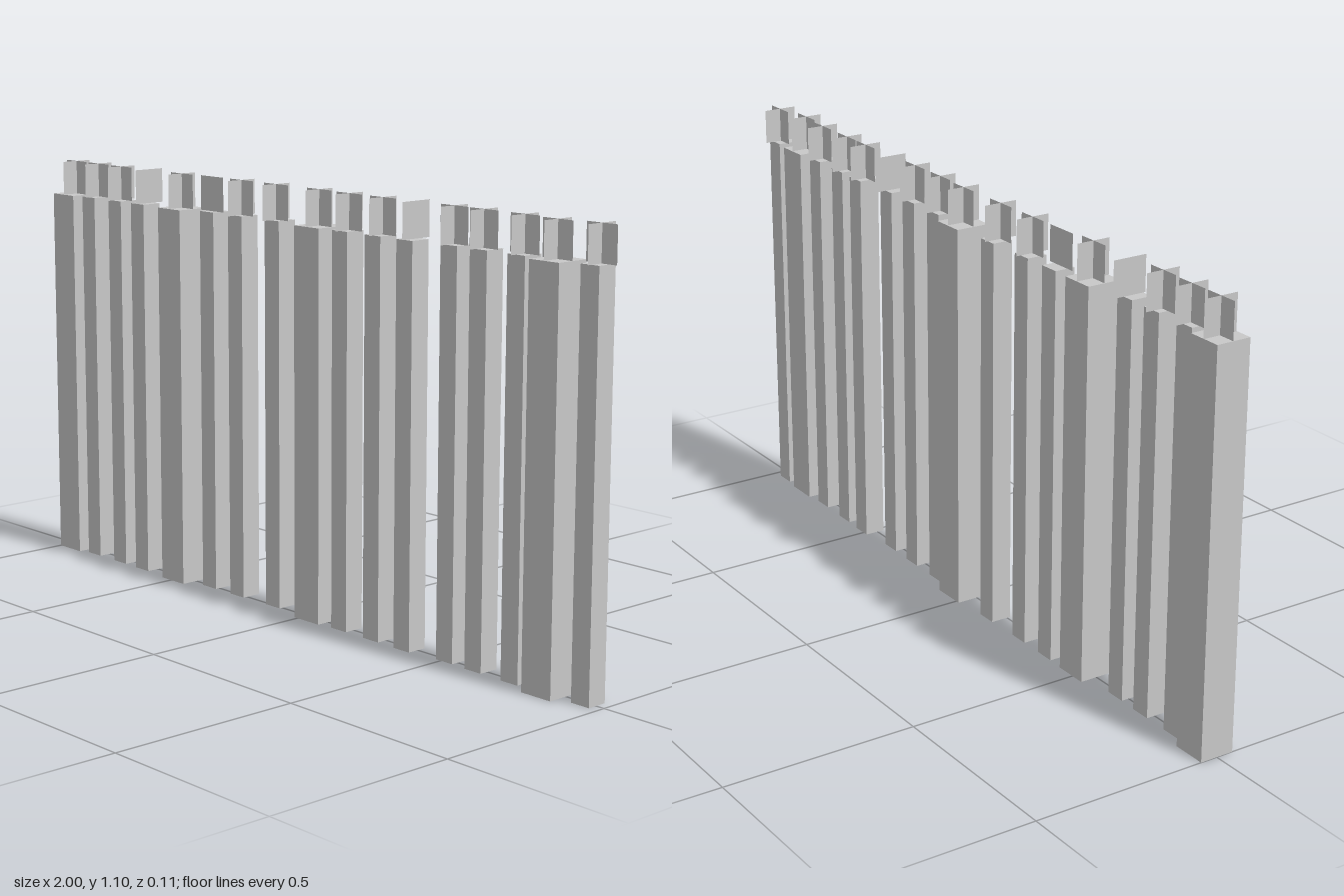
import * as THREE from 'three';

const POST_HEIGHT = 1.005;
const CAP = 0.09;
const WIDE = 0.09;
const SLIM = 0.054;

// post: [x, z, width, cap x, cap z, which crossed cap panels it carries]
const POSTS = [
  [-0.955, 0, WIDE, -0.955, -0.002, 'xz'],
  [-0.858, 0.005, SLIM, -0.855, -0.002, 'xz'],
  [-0.741, 0.005, SLIM, -0.749, 0.002, 'xz'],
  [-0.64, 0.007, SLIM, -0.637, -0.005, 'z'],
  [-0.492, 0, WIDE, -0.492, 0, 'xz'],
  [-0.377, -0.015, SLIM, -0.379, -0.009, 'x'],
  [-0.264, -0.015, SLIM, -0.262, -0.009, 'xz'],
  [-0.124, -0.018, SLIM, -0.128, -0.009, 'xz'],
  [0.034, -0.011, WIDE, 0.034, -0.009, 'xz'],
  [0.147, 0, SLIM, 0.149, -0.003, 'xz'],
  [0.264, 0.001, SLIM, 0.267, -0.003, 'xz'],
  [0.375, 0.003, SLIM, 0.375, -0.008, 'z'],
  [0.511, -0.008, SLIM, 0.504, -0.006, 'xz'],
  [0.609, -0.005, SLIM, 0.6, -0.005, 'xz'],
  [0.729, -0.003, SLIM, 0.729, -0.004, 'xz'],
  [0.84, 0.008, WIDE, 0.84, 0.009, 'xz'],
  [0.949, -0.003, SLIM, 0.953, -0.009, 'xz'],
];

// Square hollow post, closed on top and open underneath
function postGeometry(width) {
  const g = new THREE.BoxGeometry(width, POST_HEIGHT, width);
  const index = Array.from(g.index.array);
  index.splice(18, 6); // drop the bottom face
  g.setIndex(index);
  g.clearGroups();
  g.translate(0, POST_HEIGHT / 2, 0);
  return g;
}

export function createModel() {
  const model = new THREE.Group();
  model.name = 'postRow';
  const grey = new THREE.MeshStandardMaterial({ color: 0xc8c8c8, side: THREE.DoubleSide });
  grey.name = 'light grey';

  const postGeo = { [WIDE]: postGeometry(WIDE), [SLIM]: postGeometry(SLIM) };
  const panelGeo = new THREE.PlaneGeometry(CAP, CAP);

  const add = (parent, geometry, name, x, y, z) => {
    const mesh = new THREE.Mesh(geometry, grey);
    mesh.name = name;
    mesh.position.set(x, y, z);
    parent.add(mesh);
    return mesh;
  };

  for (const [x, z, width, capX, capZ, panels] of POSTS) {
    const unit = new THREE.Group();
    unit.name = width === WIDE ? 'widePost' : 'slimPost';
    add(unit, postGeo[width], 'postShaft', x, 0, z);

    // Upright crossed panels standing on the post
    const y = POST_HEIGHT + CAP / 2;
    if (panels.includes('x')) add(unit, panelGeo, 'capPanelAcross', capX, y, capZ);
    if (panels.includes('z')) {
      add(unit, panelGeo, 'capPanelDeep', capX, y, capZ).rotation.y = Math.PI / 2;
    }
    model.add(unit);
  }
  return model;
}
